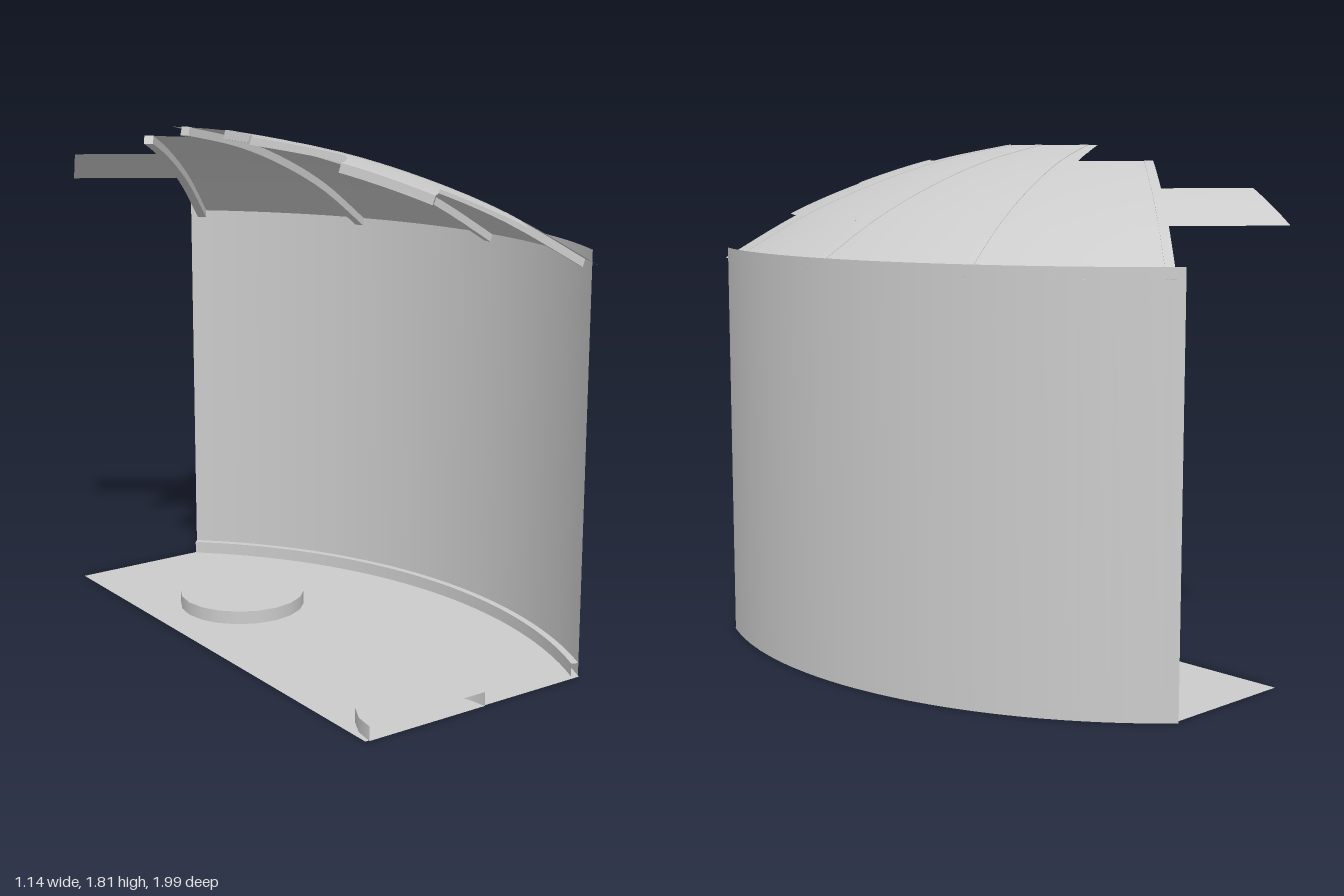
import * as THREE from 'three';

const CX = -1.02, CZ = 0.2, R = 1.59;      // axis shared by wall and roof
const rad = THREE.MathUtils.degToRad;
const mat = new THREE.MeshStandardMaterial({ color: 0xcccccc, side: THREE.DoubleSide });

// Dome profile: radius from the axis, height
const dome = new THREE.SplineCurve([[0.508, 1.812], [0.785, 1.755], [1.06, 1.667], [1.325, 1.553], [R, 1.4]]
  .map(([r, y]) => new THREE.Vector2(r, y)));

const profile = (t0, t1, n) =>
  Array.from({ length: n + 1 }, (_, i) => dome.getPoint(t0 + (t1 - t0) * i / n));

export function createModel() {
  const model = new THREE.Group();

  const add = (name, geometry, x = 0, y = 0, z = 0) => {
    const mesh = new THREE.Mesh(geometry, mat);
    mesh.name = name;
    mesh.position.set(x, y, z);
    model.add(mesh);
    return mesh;
  };

  // Sheet swept round the axis; angles in degrees from +x towards +z
  const sweep = (name, points, a0, a1) =>
    add(name, new THREE.LatheGeometry(points, Math.ceil((a1 - a0) / 2), rad(90 - a1), rad(a1 - a0)), CX, 0, CZ);

  // Curved wall
  const wallStart = -47.9, wallEnd = 25.5;
  sweep('wall', [new THREE.Vector2(R, 0), new THREE.Vector2(R, 1.44)], wallStart, wallEnd);

  // Skirting along the foot of the wall: face and top ledge
  sweep('skirtingFace', [new THREE.Vector2(R - 0.025, 0), new THREE.Vector2(R - 0.025, 0.045)], wallStart, wallEnd);
  sweep('skirtingTop', [new THREE.Vector2(R - 0.025, 0.045), new THREE.Vector2(R, 0.045)], wallStart, wallEnd);

  // Broken dome: each ring of panels covers its own span of angles
  [[-28.3, 28.6], [-47, 47], [-64.5, 37], [-46.4, 27.6]].forEach(([a0, a1], i) =>
    sweep('roofRing' + (i + 1), profile(i / 4, (i + 1) / 4, 6), a0, a1));

  // Ribs under the dome: angle, then start and end along the profile
  const ribs = [[-46.3, 0.25, 1], [-22.5, 0, 1], [0, 0, 1], [22.5, 0, 1], [46.3, 0.25, 0.5]];
  for (const [angle, t0, t1] of ribs) {
    const line = profile(t0, t1, 16);
    const top = line.map(p => new THREE.Vector2(p.x, p.y + 0.002));
    const under = line.map(p => new THREE.Vector2(p.x - 0.008, p.y - 0.026)).reverse();
    const geometry = new THREE.ExtrudeGeometry(new THREE.Shape([...top, ...under]),
      { depth: 0.032, bevelEnabled: false });
    geometry.translate(0, 0, -0.016);
    add('roofRib', geometry, CX, 0, CZ).rotation.y = -rad(angle);
  }

  // Floor: straight on three sides, following the wall on the fourth
  const outline = [new THREE.Vector2(-0.475, -0.965), new THREE.Vector2(-0.475, 0.892)];
  for (let i = 0; i <= 36; i++) {
    const z = 0.892 - (0.892 + 0.965) * i / 36;
    outline.push(new THREE.Vector2(CX + Math.sqrt(R * R - (z - CZ) ** 2), z));
  }
  const floor = new THREE.ShapeGeometry(new THREE.Shape(outline));
  floor.rotateX(Math.PI / 2);
  add('floor', floor);

  // Low round plinths: one whole, one cut by the floor's front edge
  add('plinth', new THREE.CylinderGeometry(0.23, 0.23, 0.048, 20), -0.13, 0.026, -0.355);
  add('cutPlinth', new THREE.CylinderGeometry(0.23, 0.23, 0.048, 10, 1, false, Math.PI / 2, Math.PI),
    -0.235, 0.026, 0.9);

  return model;
}
